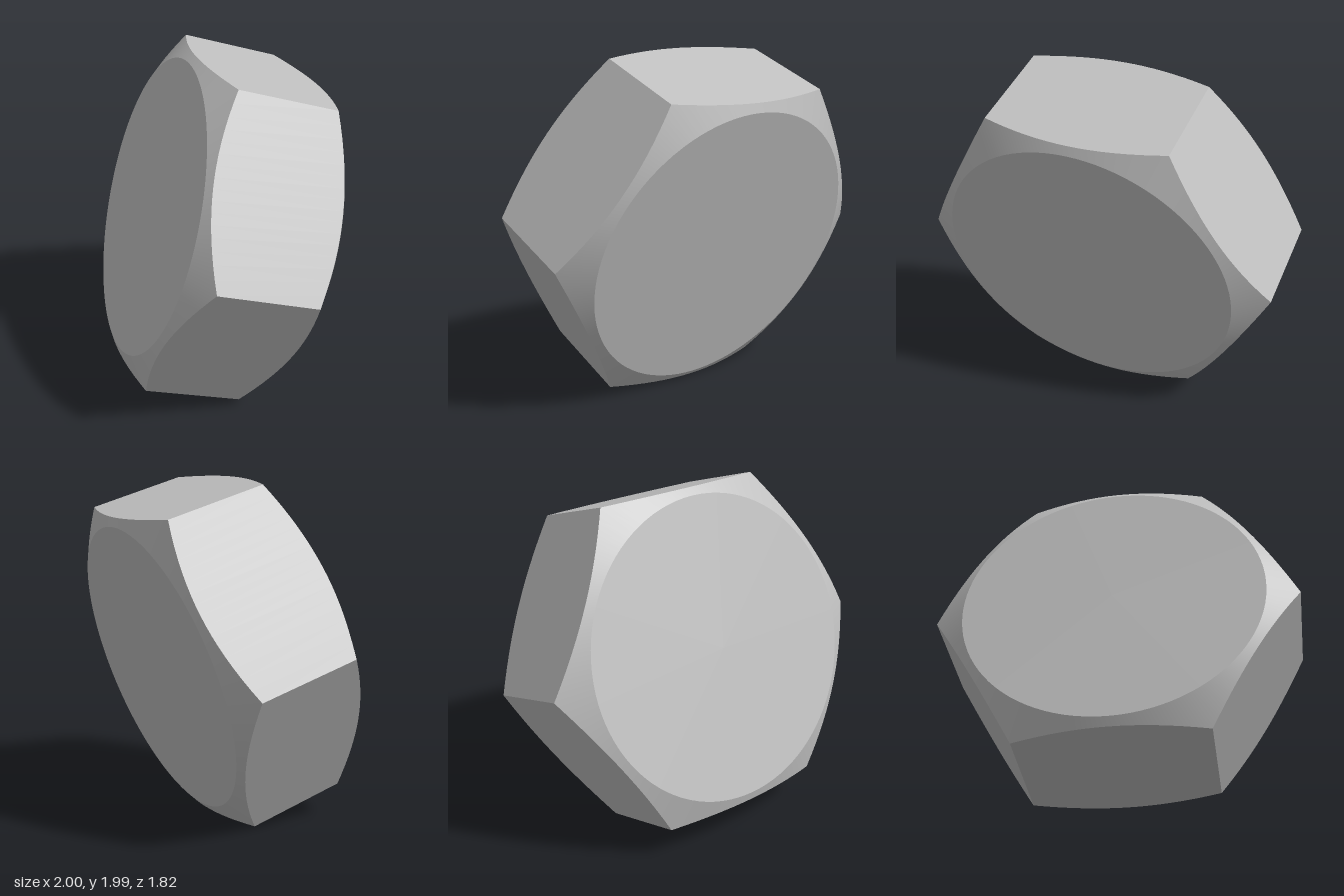
import * as THREE from 'three';
import { toCreasedNormals } from 'three/addons/utils/BufferGeometryUtils.js';

const CORNER = 1.065;                         // centre to hexagon corner
const APOTHEM = CORNER * Math.cos(Math.PI / 6);
const FACE_R = 0.875;                         // round flat on each end
const HALF = 0.403;                           // half thickness at the flats
const SEGMENTS = 96;                          // multiple of six

const hexRadius = (a) => {
  const sector = Math.PI / 3;
  const k = Math.floor(a / sector + 1e-6);
  return APOTHEM / Math.cos(a - k * sector - sector / 2);
};
// 30 degree chamfer cone: height of the surface at radius r
const chamferHeight = (r) => HALF - (r - FACE_R) * Math.tan(Math.PI / 6);

// Rings: each returns a point at angle a
const point = (r, y, a) => [r * Math.cos(a), y, r * Math.sin(a)];
const centre = (s) => () => [0, s * HALF, 0];
const circle = (s) => (a) => point(FACE_R, s * HALF, a);
const hexEdge = (s) => (a) => {
  const r = hexRadius(a);
  return point(r, s * chamferHeight(r), a);
};

// Skin between an upper ring and a lower ring
function band(upper, lower, topPoint = false, bottomPoint = false) {
  const pos = [];
  for (let i = 0; i < SEGMENTS; i++) {
    const a = (i / SEGMENTS) * Math.PI * 2;
    const b = ((i + 1) % SEGMENTS / SEGMENTS) * Math.PI * 2;
    if (!topPoint) pos.push(...upper(a), ...upper(b), ...lower(a));
    if (!bottomPoint) pos.push(...upper(b), ...lower(b), ...lower(a));
  }
  const g = new THREE.BufferGeometry();
  g.setAttribute('position', new THREE.Float32BufferAttribute(pos, 3));
  return toCreasedNormals(g, 0.35);
}

export function createModel() {
  const steel = new THREE.MeshStandardMaterial({ color: 0xc0c0c0 });
  steel.name = 'plain grey';

  const block = new THREE.Group();
  block.name = 'hexagonalBlock';
  const add = (name, geometry) => {
    const mesh = new THREE.Mesh(geometry, steel);
    mesh.name = name;
    block.add(mesh);
  };

  add('frontFlat', band(centre(1), circle(1), true));
  add('frontChamfer', band(circle(1), hexEdge(1)));
  add('hexagonSides', band(hexEdge(1), hexEdge(-1)));
  add('backChamfer', band(hexEdge(-1), circle(-1)));
  add('backFlat', band(circle(-1), centre(-1), false, true));

  // Tilt: local y runs along the block's axis, local x points to a corner
  const axis = new THREE.Vector3(-0.613, 0.298, 0.732).normalize();
  const corner = new THREE.Vector3(0.57, 0.893, 0.113);
  corner.addScaledVector(axis, -corner.dot(axis)).normalize();
  const third = new THREE.Vector3().crossVectors(corner, axis);
  block.quaternion.setFromRotationMatrix(new THREE.Matrix4().makeBasis(corner, axis, third));
  block.position.y = 0.997;

  const model = new THREE.Group();
  model.name = 'chamferedHexagon';
  model.add(block);
  return model;
}
